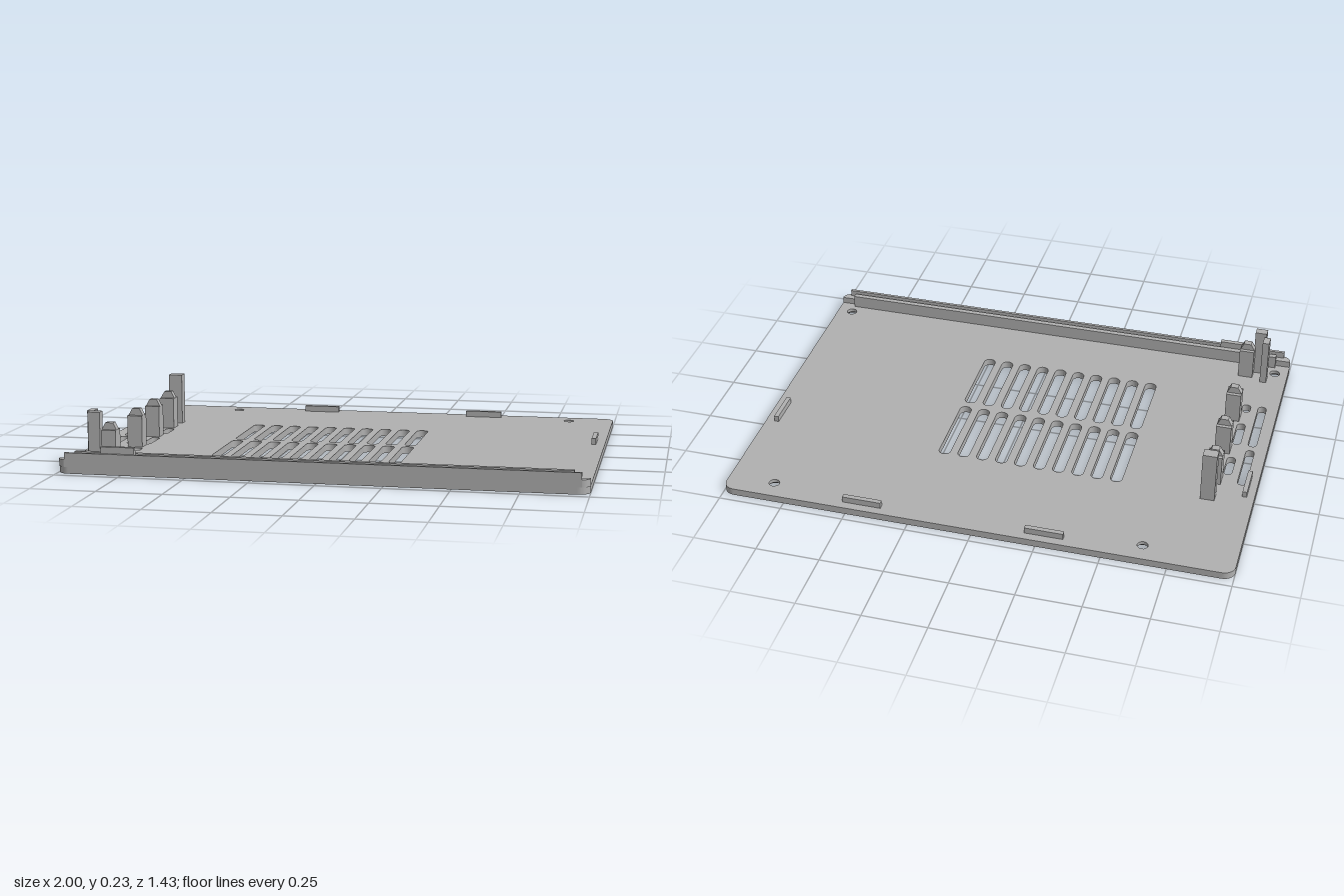
import * as THREE from 'three';

const gray = new THREE.MeshStandardMaterial({ color: 0xb0b0b0 });
gray.name = 'gray plastic';
const grayOpen = gray.clone();
grayOpen.side = THREE.DoubleSide;

const HALF_Z = 0.717, TOP = 0.028, SEAT = 0.014;

// Rounded outline in plan (shape y = -z)
function roundedRect(target, x0, x1, z0, z1, rBack, rFront = rBack) {
  const yt = -z0, yb = -z1;
  target.moveTo(x0 + rFront, yb).lineTo(x1 - rFront, yb);
  if (rFront) target.absarc(x1 - rFront, yb + rFront, rFront, -Math.PI / 2, 0);
  target.lineTo(x1, yt - rBack);
  if (rBack) target.absarc(x1 - rBack, yt - rBack, rBack, 0, Math.PI / 2);
  target.lineTo(x0 + rBack, yt);
  if (rBack) target.absarc(x0 + rBack, yt - rBack, rBack, Math.PI / 2, Math.PI);
  target.lineTo(x0, yb + rFront);
  if (rFront) target.absarc(x0 + rFront, yb + rFront, rFront, Math.PI, Math.PI * 1.5);
  return target;
}

function slab(shape, y0, y1) {
  const g = new THREE.ExtrudeGeometry(shape, { depth: y1 - y0, bevelEnabled: false, curveSegments: 8 });
  return g.rotateX(-Math.PI / 2).translate(0, y0, 0);
}

export function createModel() {
  const model = new THREE.Group();
  model.name = 'ventedCover';

  const add = (name, geometry, material = gray) => {
    const mesh = new THREE.Mesh(geometry, material);
    mesh.name = name;
    model.add(mesh);
    return mesh;
  };
  const box = (name, x0, x1, z0, z1, height, y0 = TOP - 0.002) =>
    add(name, new THREE.BoxGeometry(x1 - x0, height - y0, z1 - z0)
      .translate((x0 + x1) / 2, (y0 + height) / 2, (z0 + z1) / 2));

  // Vent slots: [x, z start, z end, width]
  const slots = [];
  for (let i = 0; i < 10; i++) {
    const x = -0.46 + i * 0.0775;
    slots.push([x, -0.286, 0.048, 0.047], [x, 0.078, 0.41, 0.047]);
  }
  slots.push([-0.936, -0.18, 0.05, 0.034], [-0.936, 0.078, 0.36, 0.034]);
  for (const x of [-0.872, -0.806]) {
    slots.push([x, -0.128, -0.013, 0.034], [x, 0.078, 0.222, 0.034], [x, 0.308, 0.36, 0.034]);
  }
  const screws = [[-0.644, -0.638], [0.815, -0.638], [-0.946, 0.618], [0.938, 0.618]];

  // Base plate in two layers, the lower one with wider screw holes
  const plateLayer = (screwRadius) => {
    const shape = roundedRect(new THREE.Shape(), -1, 1, -HALF_Z, HALF_Z, 0.045);
    for (const [x, z0, z1, w] of slots) {
      shape.holes.push(roundedRect(new THREE.Path(), x - w / 2, x + w / 2, z0, z1, w / 2 - 0.0005));
    }
    for (const [x, z] of screws) {
      shape.holes.push(new THREE.Path().absarc(x, -z, screwRadius, 0, Math.PI * 2));
    }
    return shape;
  };
  add('plateUnderside', slab(plateLayer(0.036), 0, SEAT));
  add('plateTop', slab(plateLayer(0.021), SEAT, TOP));

  // Countersinks
  for (const [x, z] of screws) {
    add('countersink', new THREE.CylinderGeometry(0.021, 0.036, SEAT, 20, 1, true)
      .translate(x, SEAT / 2, z), grayOpen);
  }

  // Front rail: rounded step, outer lip, inner rib and latch
  add('frontStep', slab(roundedRect(new THREE.Shape(), -1, 1, 0.68, HALF_Z, 0, 0.036), TOP - 0.002, 0.054));
  box('frontLip', -0.97, 0.97, 0.705, HALF_Z, 0.08);
  box('frontRib', -0.94, 0.94, 0.661, 0.683, 0.08);
  box('frontLatch', -0.83, -0.7, 0.684, 0.703, 0.105);

  // Edge tabs
  box('backTab', -0.35, -0.2, -0.683, -0.664, 0.052);
  box('backTab', 0.367, 0.52, -0.683, -0.664, 0.052);
  box('rightTab', -0.97, -0.952, -0.252, -0.113, 0.052);
  box('leftTab', 0.947, 0.965, -0.252, -0.113, 0.052);

  // Tall plain posts
  box('backPost', -0.853, -0.797, -0.306, -0.264, 0.235);
  box('sidePost', -0.92, -0.893, 0.54, 0.586, 0.221);
  box('frontPost', -0.9, -0.853, 0.605, 0.639, 0.225);

  // Short posts, each with a tapered key on top
  for (const z of [-0.17, 0.035, 0.264, 0.592]) {
    box('keyedPost', -0.858, -0.798, z - 0.029, z + 0.029, 0.153);
    const key = new THREE.Shape([[-0.858, 0.152], [-0.798, 0.152], [-0.812, 0.18], [-0.842, 0.18]]
      .map(([x, y]) => new THREE.Vector2(x, y)));
    add('postKey', new THREE.ExtrudeGeometry(key, { depth: 0.028, bevelEnabled: false })
      .translate(0, 0, z - 0.014));
  }
  return model;
}
